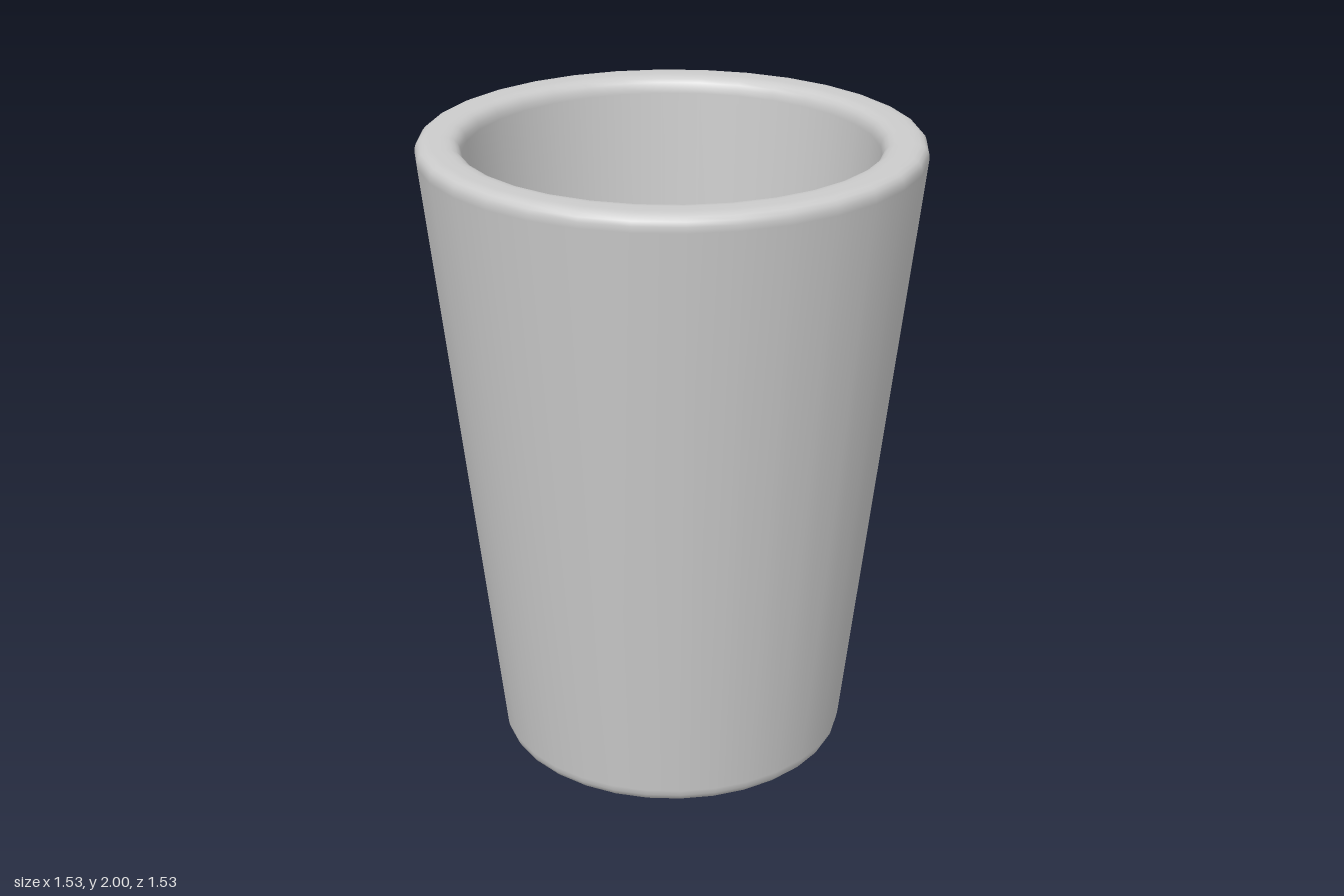
import * as THREE from 'three';

// Corner points of the cup section: radius, height, fillet size
const CORNERS = [
  [0.545, 0, 0.05],    // outer foot
  [0.77, 2, 0.05],     // outer rim
  [0.63, 2, 0.05],     // inner rim
  [0.505, 0.25, 0.04], // inner floor edge
];
const FILLET_STEPS = 5;

// Rounded section running from the underside centre, over the rim, to the floor centre
function cupProfile() {
  const pts = CORNERS.map(([r, y]) => new THREE.Vector2(r, y));
  const path = [new THREE.Vector2(0, 0), ...pts, new THREE.Vector2(0, 0.25)];
  const profile = [path[0]];
  CORNERS.forEach(([, , size], i) => {
    const corner = path[i + 1];
    const towards = (p) => corner.clone().add(p.clone().sub(corner).setLength(size));
    const curve = new THREE.QuadraticBezierCurve(towards(path[i]), corner, towards(path[i + 2]));
    profile.push(...curve.getPoints(FILLET_STEPS));
  });
  profile.push(path[path.length - 1]);
  return profile;
}

export function createModel() {
  const group = new THREE.Group();
  group.name = 'cup';

  // One closed, hollow, tapered body with a rounded rim and foot
  const body = new THREE.Mesh(
    new THREE.LatheGeometry(cupProfile(), 32),
    new THREE.MeshStandardMaterial({ color: 0xcccccc })
  );
  body.name = 'cupBody';
  group.add(body);

  return group;
}
